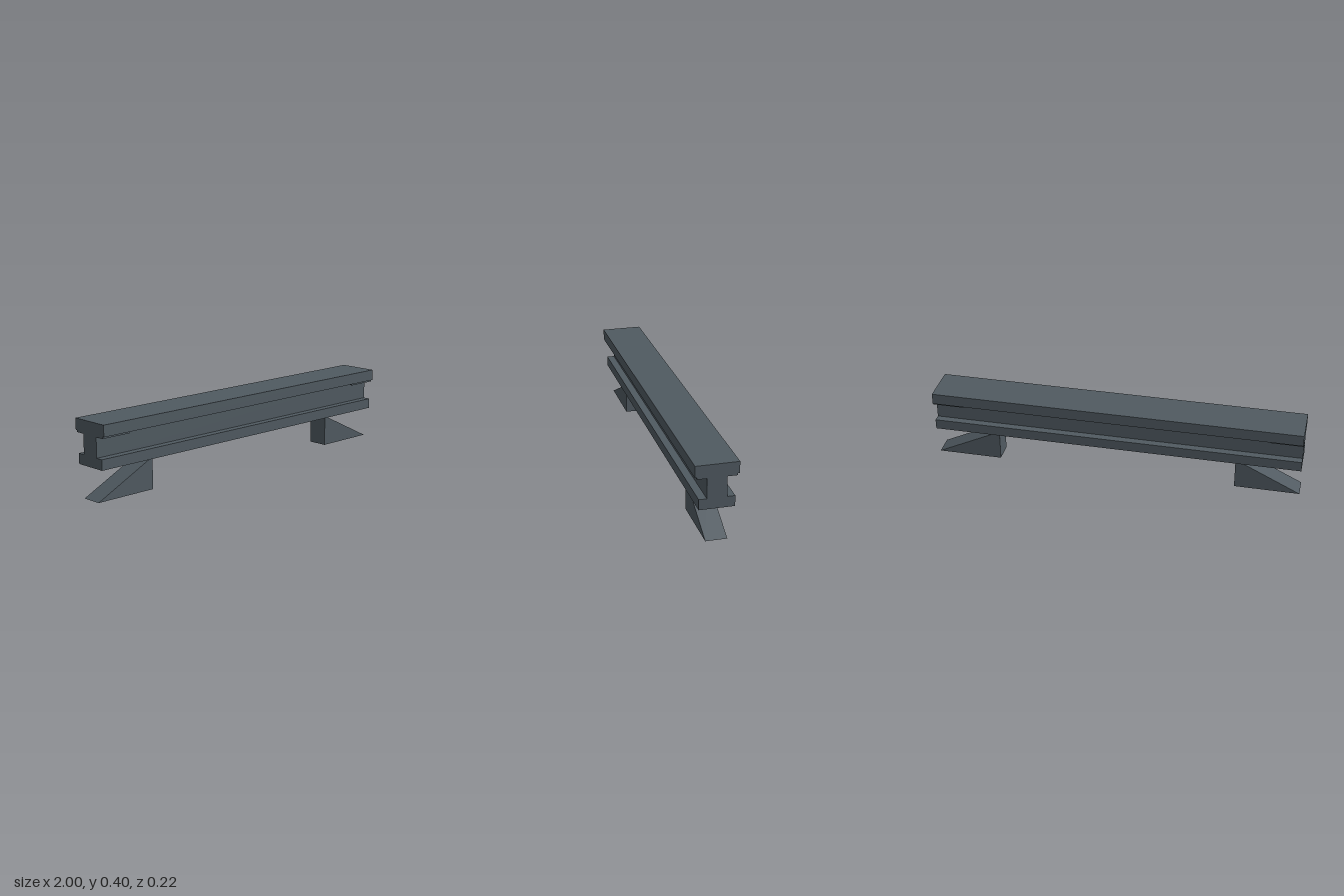
import * as THREE from 'three';

export function createModel() {
  const group = new THREE.Group();
  const steel = new THREE.MeshStandardMaterial({ color: 0x505a61 });
  steel.name = 'dark steel grey';

  const add = (name, geometry, x = 0, y = 0, z = 0) => {
    const mesh = new THREE.Mesh(geometry, steel);
    mesh.name = name;
    mesh.position.set(x, y, z);
    group.add(mesh);
  };

  // I-shaped beam: half cross-section (z, y), mirrored and extruded along x
  const half = [[0.09, 0.17], [0.09, 0.225], [0.05, 0.225], [0.05, 0.34], [0.11, 0.34], [0.11, 0.4]];
  const outline = [...half, ...half.map(([z, y]) => [-z, y]).reverse()];
  const section = new THREE.Shape(outline.map(([z, y]) => new THREE.Vector2(z, y)));
  const beam = new THREE.ExtrudeGeometry(section, { depth: 2, bevelEnabled: false });
  beam.translate(0, 0, -1).rotateY(Math.PI / 2);
  add('beam', beam);

  // Thin pads under the top flange at each end, on both sides of the web
  for (const sx of [-1, 1]) {
    for (const sz of [-1, 1]) {
      add(sx > 0 ? 'leftEndPad' : 'rightEndPad',
        new THREE.BoxGeometry(0.17, 0.01, 0.05), sx * 0.915, 0.335, sz * 0.075);
    }
  }

  // Wedge feet, sloping down towards the ends
  for (const s of [-1, 1]) {
    const wedge = new THREE.Shape([
      new THREE.Vector2(s * 0.65, 0),
      new THREE.Vector2(s, 0),
      new THREE.Vector2(s * 0.65, 0.17),
    ]);
    const foot = new THREE.ExtrudeGeometry(wedge, { depth: 0.11, bevelEnabled: false });
    add(s > 0 ? 'leftFoot' : 'rightFoot', foot, 0, 0, -0.055);
  }

  return group;
}
